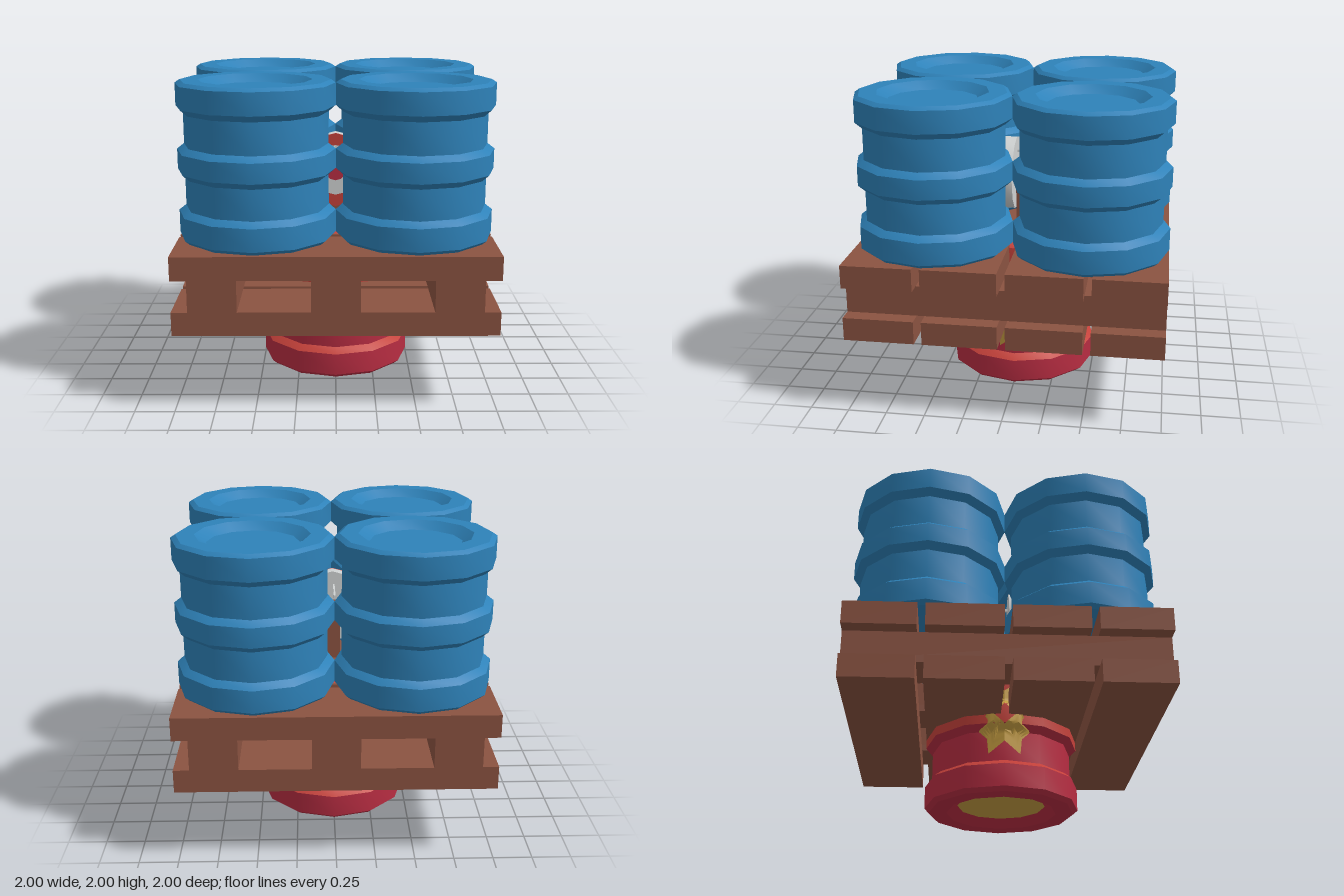
import * as THREE from 'three';
import { toCreasedNormals } from 'three/addons/utils/BufferGeometryUtils.js';

const mat = (name, color, side = THREE.FrontSide) => {
  const m = new THREE.MeshStandardMaterial({ color, side });
  m.name = name;
  return m;
};

export function createModel() {
  const blue = mat('blue', 0x2e82b9);
  const brown = mat('wood brown', 0x8b5341);
  const crimson = mat('crimson', 0xb82d42);
  const red = mat('warm red', 0xc5413a);
  const yellow = mat('yellow', 0xc89f42, THREE.DoubleSide);
  const white = mat('pale grey', 0xcfd2d2);
  const model = new THREE.Group();

  const add = (parent, name, geo, material, x = 0, y = 0, z = 0) => {
    const m = new THREE.Mesh(geo, material);
    m.name = name;
    m.position.set(x, y, z);
    parent.add(m);
    return m;
  };
  const box = (parent, name, material, x0, x1, y0, y1, z0, z1) =>
    add(parent, name, new THREE.BoxGeometry(x1 - x0, y1 - y0, z1 - z0), material,
      (x0 + x1) / 2, (y0 + y1) / 2, (z0 + z1) / 2);

  // Barrel profile, radius and height, bottom centre to top centre
  const profile = [
    [0.0001, 0.05], [0.286, 0.05], [0.356, 0], [0.47, 0], [0.5, 0.025], [0.5, 0.17],
    [0.455, 0.205], [0.455, 0.4], [0.5, 0.44], [0.5, 0.565], [0.455, 0.6], [0.455, 0.8],
    [0.5, 0.84], [0.5, 0.98], [0.47, 1], [0.356, 1], [0.286, 0.95], [0.0001, 0.95],
  ];
  const turn = (from, to) => toCreasedNormals(new THREE.LatheGeometry(
    profile.slice(from, to + 1).map(([r, y]) => new THREE.Vector2(r, y)), 12), 0.6);

  // Four blue barrels
  const barrelGeo = turn(0, 17);
  for (const x of [-0.5, 0.5])
    for (const z of [-0.5, 0.5]) add(model, 'blueBarrel', barrelGeo, blue, x, 1, z);

  // Pallet: three stringers, with four boards above and below
  const pallet = new THREE.Group();
  pallet.name = 'pallet';
  model.add(pallet);
  for (const [a, b] of [[-0.9, -0.6], [-0.15, 0.15], [0.6, 0.9]])
    box(pallet, 'stringer', brown, a, b, 0.65, 0.85, -1, 1);
  for (const [a, b] of [[-1, -0.55], [-0.5, -0.025], [0.025, 0.5], [0.55, 1]])
    for (const y of [0.5, 0.85]) box(pallet, 'board', brown, -1, 1, y, y + 0.15, a, b);

  // Red barrel through the middle of the pallet
  const redBarrel = new THREE.Group();
  redBarrel.name = 'redBarrel';
  redBarrel.scale.y = 1.002;
  model.add(redBarrel);
  [
    ['bottomCap', 0, 1, yellow], ['bottomBand', 1, 5, crimson], ['lowerBevel', 5, 6, red],
    ['lowerWall', 6, 8, crimson], ['upperWall', 8, 16, red], ['topCap', 16, 17, yellow],
  ].forEach(([name, a, b, m]) => add(redBarrel, name, turn(a, b), m));

  // Yellow burst emblem on each side, wrapped on the barrel wall
  const half = [[0, 0.33], [0.1, 0.25], [0.11, 0.35], [0.16, 0.4], [0.115, 0.5],
    [0.16, 0.6], [0.11, 0.65], [0.1, 0.75], [0, 0.67]];
  const outline = [...half, ...half.slice(1, -1).reverse().map(([z, y]) => [-z, y])];
  const radiusAt = (y) => {
    for (let i = 4; i < 13; i++) {
      const [r0, y0] = profile[i], [r1, y1] = profile[i + 1];
      if (y <= y1) return r0 + (r1 - r0) * (y - y0) / (y1 - y0);
    }
    return 0.5;
  };
  const steps = 8, n = outline.length, pos = [], index = [];
  for (const [z, y] of outline) {
    const k = 0.07 / (Math.abs(z) + Math.abs(y - 0.5));
    for (let s = 0; s <= steps; s++) {
      const t = k + (1 - k) * s / steps;
      const pz = z * t, py = 0.5 + (y - 0.5) * t;
      pos.push(radiusAt(py) + 0.008 - Math.abs(pz) * Math.tan(Math.PI / 12), py, pz);
    }
  }
  for (let i = 0; i < n; i++)
    for (let s = 0; s < steps; s++) {
      const a = i * (steps + 1) + s, b = ((i + 1) % n) * (steps + 1) + s;
      index.push(a, a + 1, b, b, a + 1, b + 1);
    }
  let burst = new THREE.BufferGeometry();
  burst.setAttribute('position', new THREE.Float32BufferAttribute(pos, 3));
  burst.setIndex(index);
  // Make the faces point outward
  const p = new THREE.Vector3(...pos.slice(0, 3));
  const q = new THREE.Vector3(...pos.slice(3, 6)).sub(p);
  const o = (steps + 1) * 3;
  const w = new THREE.Vector3(...pos.slice(o, o + 3)).sub(p);
  if (q.cross(w).x < 0) burst.setIndex(index.reverse());
  burst = toCreasedNormals(burst, 0.5);
  add(redBarrel, 'burstEmblem', burst, yellow);
  add(redBarrel, 'burstEmblem', burst, yellow).rotation.y = Math.PI;

  // Thin pale strips on the upper wall
  for (const x of [-0.39, 0.39])
    box(redBarrel, 'wallStrip', white, x - 0.008, x + 0.008, 0.64, 0.82, 0.23, 0.24);

  // Round target on a post, between the blue barrels
  const target = new THREE.Group();
  target.name = 'target';
  model.add(target);
  box(target, 'post', brown, -0.05, 0.05, 1, 1.4, 0, 0.045);
  const disc = (name, r, depth, material, z) => {
    const g = new THREE.CylinderGeometry(r, r, depth, 12).rotateX(Math.PI / 2);
    add(target, name, toCreasedNormals(g, 0.6), material, 0, 1.35, z);
  };
  disc('targetBody', 0.25, 0.08, white, 0.085);
  disc('outerRing', 0.25, 0.009, red, 0.1295);
  disc('middleRing', 0.17, 0.004, white, 0.135);
  disc('bullseye', 0.07, 0.004, crimson, 0.138);
  box(target, 'dart', white, -0.015, -0.003, 1.49, 1.51, -0.21, 0.2);

  return model;
}
